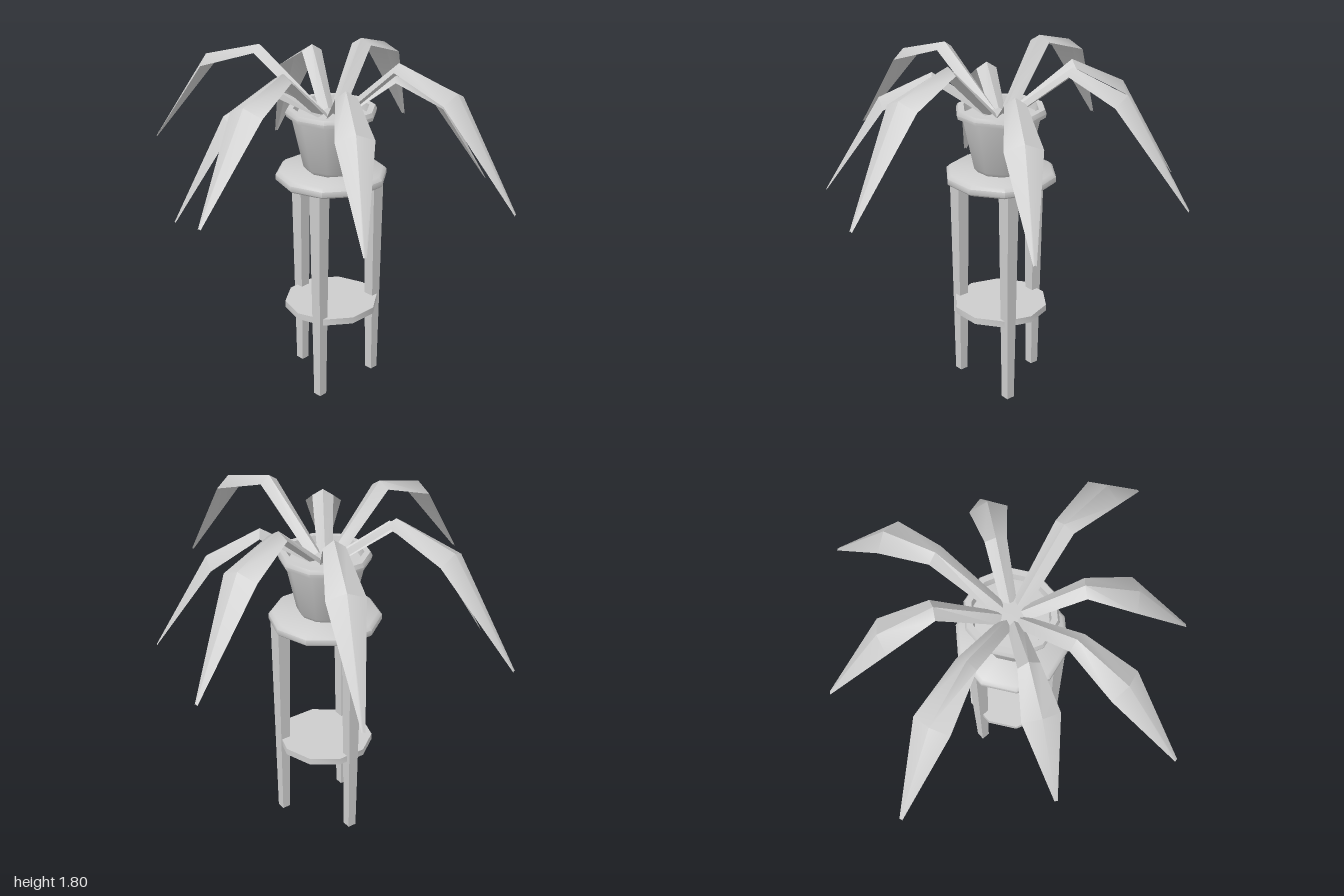
import * as THREE from 'three';
import { toCreasedNormals } from 'three/addons/utils/BufferGeometryUtils.js';

const CX = 0.02, CZ = -0.02; // axis of the stand and pot
const CREASE = 0.87;

export function createModel() {
  const root = new THREE.Group();
  const grey = new THREE.MeshStandardMaterial({ color: 0xcccccc, side: THREE.DoubleSide });
  grey.name = 'plain grey';

  function add(name, geometry, x = 0, z = 0, y = 0) {
    const mesh = new THREE.Mesh(toCreasedNormals(geometry, CREASE), grey);
    mesh.name = name;
    mesh.position.set(x, y, z);
    root.add(mesh);
  }

  // Ten-sided turned parts, with corners on the x axis
  function turned(name, profile) {
    const points = profile.map(([r, y]) => new THREE.Vector2(r, y));
    add(name, new THREE.LatheGeometry(points, 10, Math.PI / 2), CX, CZ);
  }

  turned('tableTop', [[0, 1.14], [0.272, 1.14], [0.283, 1.15], [0.283, 1.177], [0.265, 1.194], [0, 1.194]]);
  turned('lowerShelf', [[0, 0.422], [0.245, 0.422], [0.245, 0.457], [0, 0.457]]);
  turned('pot', [
    [0, 1.194], [0.125, 1.194], [0.142, 1.215], [0.2, 1.475], [0.225, 1.48],
    [0.23, 1.5], [0.22, 1.52], [0.19, 1.52], [0.18, 1.47],
  ]);
  turned('soil', [[0.183, 1.48], [0, 1.49]]);

  // Three square tapered legs
  for (const degrees of [30, 150, 270]) {
    const a = THREE.MathUtils.degToRad(degrees);
    const leg = new THREE.CylinderGeometry(0.035 * Math.SQRT2, 0.0225 * Math.SQRT2, 1.15, 4);
    leg.rotateY(Math.PI / 4);
    add('leg', leg, CX + 0.225 * Math.cos(a), CZ + 0.225 * Math.sin(a), 0.575);
  }

  // Arching leaf: roof-shaped cross-sections at the base, knee, middle and tip
  function leaf(knee, middle, tip) {
    const dir = new THREE.Vector3(tip[0] - CX, 0, tip[2] - CZ).normalize();
    const side = new THREE.Vector3(dir.z, 0, -dir.x);
    const base = [CX + dir.x * 0.045, 1.5, CZ + dir.z * 0.045];
    const spine = [base, knee, middle, tip].map((p) => new THREE.Vector3(...p));
    const halfWidth = [0.038, 0.053, 0.093, 0.008];
    const drop = [0.025, 0.035, 0.04, 0.005];
    const back = [0.02, 0.005, -0.02, 0]; // edges follow the tilt of the blade
    const positions = [], index = [];
    spine.forEach((p, i) => {
      for (const s of [-1, 0, 1]) {
        const v = p.clone().addScaledVector(side, s * halfWidth[i]);
        if (s) {
          v.y -= drop[i];
          v.addScaledVector(dir, back[i]);
        }
        positions.push(v.x, v.y, v.z);
      }
      if (i === 3) return;
      for (let j = 0; j < 2; j++) {
        const a = i * 3 + j, b = a + 1, c = a + 3, d = a + 4;
        index.push(a, c, b, b, c, d);
      }
    });
    const geometry = new THREE.BufferGeometry();
    geometry.setAttribute('position', new THREE.Float32BufferAttribute(positions, 3));
    geometry.setIndex(index);
    add('leaf', geometry);
  }

  // Four high and four low leaves, alternating: knee, middle, tip
  leaf([-0.116, 1.79, -0.39], [-0.215, 1.7, -0.69], [-0.333, 1.205, -1.0]);
  leaf([0.19, 1.74, -0.33], [0.3, 1.61, -0.58], [0.41, 1.085, -0.86]);
  leaf([0.375, 1.77, -0.16], [0.65, 1.68, -0.25], [0.957, 1.175, -0.37]);
  leaf([0.296, 1.66, 0.125], [0.52, 1.525, 0.26], [0.75, 1.055, 0.395]);
  leaf([0.09, 1.805, 0.355], [0.14, 1.715, 0.67], [0.2, 1.2, 0.99]);
  leaf([-0.164, 1.705, 0.26], [-0.315, 1.585, 0.47], [-0.482, 1.115, 0.693]);
  leaf([-0.35, 1.78, 0.037], [-0.64, 1.695, 0.088], [-0.963, 1.23, 0.145]);
  leaf([-0.26, 1.66, -0.16], [-0.47, 1.53, -0.26], [-0.71, 1.02, -0.37]);

  return root;
}
